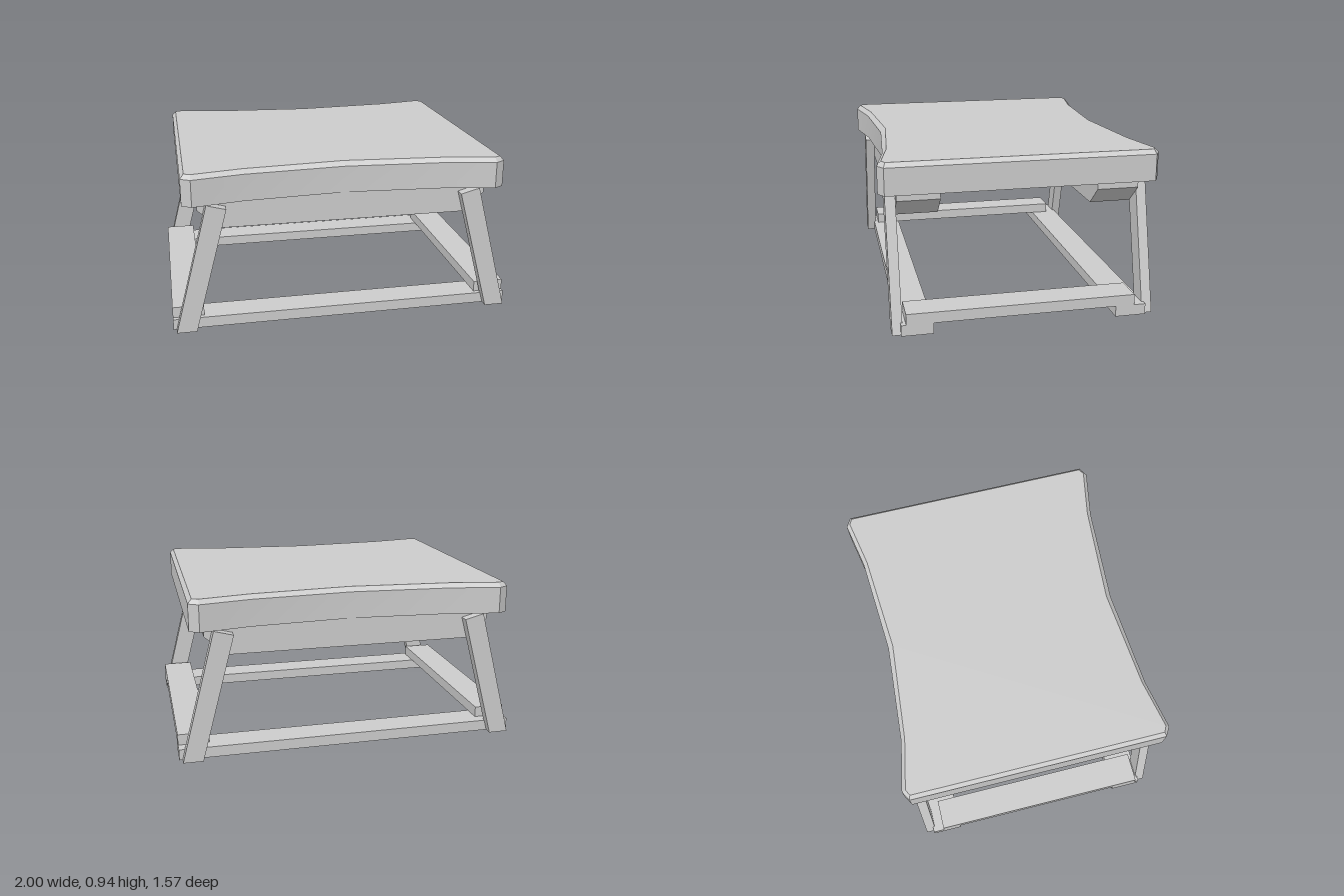
import * as THREE from 'three';
import { toCreasedNormals } from 'three/addons/utils/BufferGeometryUtils.js';

const wood = new THREE.MeshStandardMaterial({ color: 0xcccccc, side: THREE.DoubleSide });
wood.name = 'pale grey';

function add(group, name, geometry, x = 0, y = 0, z = 0) {
  const mesh = new THREE.Mesh(geometry, wood);
  mesh.name = name;
  mesh.position.set(x, y, z);
  group.add(mesh);
  return mesh;
}

// Flat slab cut from an outline in x and y, running from z0 to z1
function slab(points, z0, z1) {
  const shape = new THREE.Shape(points.map(([x, y]) => new THREE.Vector2(x, y)));
  return new THREE.ExtrudeGeometry(shape, { depth: z1 - z0, bevelEnabled: false }).translate(0, 0, z0);
}

// Hollow board: a box without its underside (the fourth face of six)
function openBoard(width, height, depth) {
  const box = new THREE.BoxGeometry(width, height, depth);
  const index = Array.from(box.index.array);
  index.splice(18, 6);
  box.setIndex(index);
  box.clearGroups();
  return box;
}

// Full counter-clockwise seat outline from one quarter of it (side to middle)
function seatRing(quarter) {
  const half = [...quarter, ...quarter.slice(0, -1).reverse().map(([x, z]) => [-x, z])];
  return [
    ...half.map(([x, z]) => new THREE.Vector2(x, z)),
    ...half.map(([x, z]) => new THREE.Vector2(-x, -z)),
  ];
}

// Seat: waisted shell, open below, lofted upwards with a chamfered top rim
function seatGeometry() {
  const outer = seatRing([[0.917, 0.755], [0.862, 0.787], [0.575, 0.732], [0, 0.692]]);
  const inner = seatRing([[0.895, 0.745], [0.86, 0.763], [0.575, 0.708], [0, 0.662]]);
  const levels = [[outer, 0.765], [outer, 0.918], [inner, 0.943]];
  const positions = [];
  const put = ([ring, y], i) => positions.push(ring[i].x, y, -ring[i].y);
  const n = outer.length;
  for (let k = 0; k < 2; k++) {
    const low = levels[k], high = levels[k + 1];
    for (let i = 0; i < n; i++) {
      const j = (i + 1) % n;
      put(low, i); put(low, j); put(high, j);
      put(low, i); put(high, j); put(high, i);
    }
  }
  for (const corners of THREE.ShapeUtils.triangulateShape(inner, [])) {
    for (const i of corners) put(levels[2], i);
  }
  const geometry = new THREE.BufferGeometry();
  geometry.setAttribute('position', new THREE.Float32BufferAttribute(positions, 3));
  return toCreasedNormals(geometry, 0.4);
}

export function createModel() {
  const model = new THREE.Group();
  model.name = 'stool';

  add(model, 'seat', seatGeometry());

  // Beams under the seat, with slanted ends
  const beam = [[-0.71, 0.6], [0.71, 0.6], [0.833, 0.71], [0.833, 0.766], [-0.833, 0.766], [-0.833, 0.71]];
  // Splayed leg, cut level at the floor and square at the top
  const leg = [[0.868, 0], [0.982, 0], [0.785, 0.756], [0.675, 0.727]];

  for (const s of [1, -1]) {
    const end = s > 0 ? 'front' : 'back';
    const span = (near, far) => (s > 0 ? [near, far] : [-far, -near]);
    add(model, end + 'Beam', slab(beam, ...span(0.446, 0.687)));
    add(model, end + 'FloorRail', openBoard(2, 0.063, 0.178), 0, 0.0315, s * 0.61);
    for (const side of [1, -1]) {
      const outline = leg.map(([x, y]) => [side * x, y]);
      add(model, end + (side > 0 ? 'Left' : 'Right') + 'Leg', slab(outline, ...span(0.688, 0.746)));
    }
  }

  // Side boards resting on the floor rails
  for (const side of [1, -1]) {
    add(model, side > 0 ? 'leftBoard' : 'rightBoard', openBoard(0.18, 0.063, 1.302), side * 0.91, 0.0945, 0.02);
  }
  return model;
}
